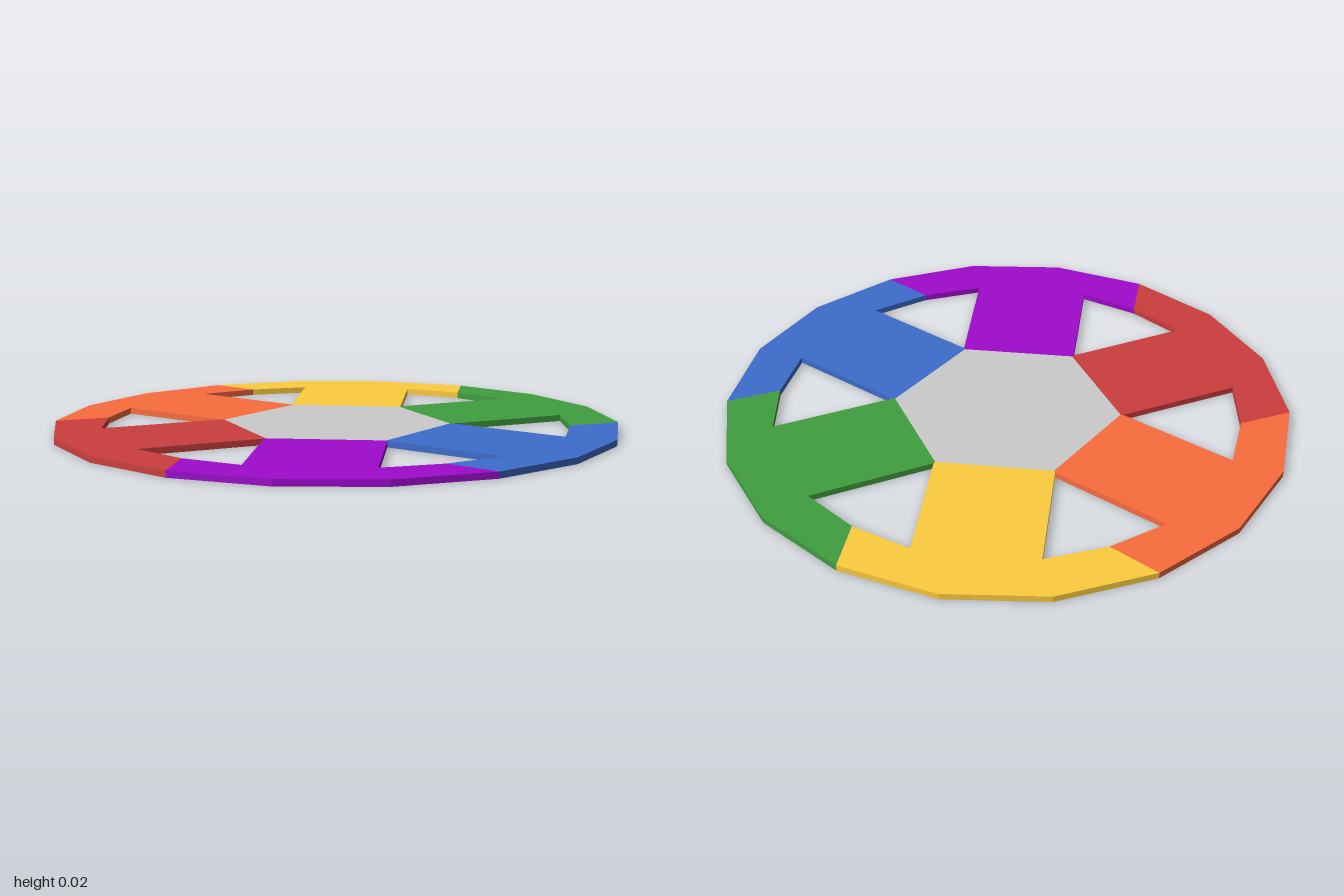
import * as THREE from 'three';

const THICKNESS = 0.022;
const HUB_RADIUS = 0.405;
const RIM_RADIUS = 1.0038;

const polar = (radius, degrees) => {
  const a = THREE.MathUtils.degToRad(degrees);
  return new THREE.Vector2(radius * Math.cos(a), radius * Math.sin(a));
};

// Flat plate lying on the ground, cut from a counterclockwise outline
function plate(name, points, color) {
  const geometry = new THREE.ExtrudeGeometry(new THREE.Shape(points), {
    depth: THICKNESS,
    bevelEnabled: false,
  });
  geometry.rotateX(-Math.PI / 2);
  const mesh = new THREE.Mesh(
    geometry,
    new THREE.MeshStandardMaterial({ color, flatShading: true })
  );
  mesh.name = name;
  return mesh;
}

export function createModel() {
  const group = new THREE.Group();
  group.name = 'segmentedWheel';

  // Hexagonal hub
  const hubPoints = [0, 60, 120, 180, 240, 300].map((d) => polar(HUB_RADIUS, d));
  group.add(plate('hub', hubPoints, 0xcccccc));

  // One spoke with its piece of rim, pointing away from the front
  const segmentPoints = [
    polar(HUB_RADIUS, 60),
    polar(0.414, 60), // inner corner of the opening
    new THREE.Vector2(0.21, 0.802),
    polar(0.828, 60), // inside of the rim seam
    ...[65, 85, 105, 125].map((d) => polar(RIM_RADIUS, d)),
    polar(0.828, 120),
    new THREE.Vector2(-0.21, 0.802),
    polar(0.414, 120),
    polar(HUB_RADIUS, 120),
  ];

  // Six coloured segments around the hub
  const segments = [
    ['orangeSegment', 0xfb6d3e],
    ['redSegment', 0xcc3e3e],
    ['purpleSegment', 0x9e0bcc],
    ['blueSegment', 0x3e6dcc],
    ['greenSegment', 0x409e40],
    ['yellowSegment', 0xfdcc3e],
  ];
  segments.forEach(([name, color], i) => {
    const segment = plate(name, segmentPoints, color);
    segment.rotation.y = (i * Math.PI) / 3;
    group.add(segment);
  });

  return group;
}
